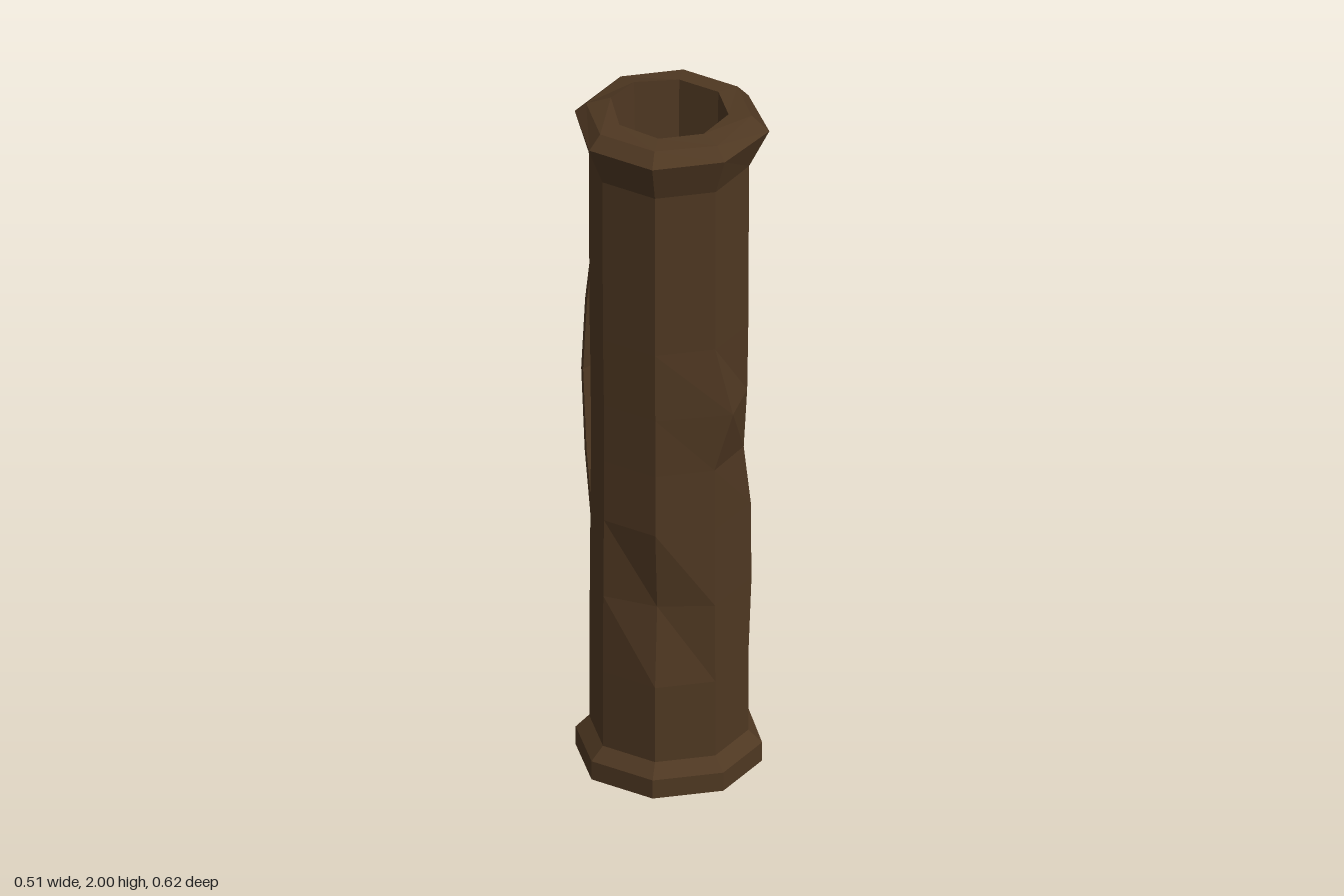
import * as THREE from 'three';

const SIDES = 8;
const CENTRE_Z = 0.056;
const leather = new THREE.MeshStandardMaterial({ color: 0x4f3822, flatShading: true, roughness: 0.9 });
const strapLeather = leather.clone();
strapLeather.side = THREE.DoubleSide;

// Eight-sided turned part; corner 0 faces front, corner 2 faces +x.
// Each dent moves one corner of one profile row: [corner, row, dx, dy, dz]
function turned(name, profile, dents = []) {
  const geo = new THREE.LatheGeometry(profile.map(([r, y]) => new THREE.Vector2(r, y)), SIDES);
  const pos = geo.attributes.position;
  for (const [corner, row, dx, dy, dz] of dents) {
    for (let c = corner; c <= SIDES; c += SIDES) {
      const i = c * profile.length + row;
      pos.setXYZ(i, pos.getX(i) + dx, pos.getY(i) + dy, pos.getZ(i) + dz);
    }
  }
  const flat = geo.toNonIndexed();
  flat.computeVertexNormals();
  const mesh = new THREE.Mesh(flat, leather);
  mesh.name = name;
  mesh.position.set(0.003, 0, CENTRE_Z);
  return mesh;
}

// Ribbon with a raised centre ridge, swept through [y, z] points
function ribbon(path, xs, ridge, thickness) {
  const section = [
    [xs[0], 0], [xs[1], -ridge], [xs[2], 0],
    [xs[2], thickness], [xs[1], thickness - ridge], [xs[0], thickness],
  ];
  const n = section.length;
  const verts = [];
  const index = [];
  path.forEach(([y, z], r) => {
    for (const [x, dz] of section) verts.push(x, y, z + dz);
    if (r === 0) return;
    for (let k = 0; k < n; k++) {
      const a = (r - 1) * n + k, b = (r - 1) * n + (k + 1) % n;
      index.push(a, a + n, b, b, a + n, b + n);
    }
  });
  const geo = new THREE.BufferGeometry();
  geo.setAttribute('position', new THREE.Float32BufferAttribute(verts, 3));
  geo.setIndex(index);
  const flat = geo.toNonIndexed();
  flat.computeVertexNormals();
  return flat;
}

export function createModel() {
  const group = new THREE.Group();
  group.name = 'quiver';

  // Bottom cap with its bevelled band
  group.add(turned('baseBand',
    [[0, 0.01], [0.21, 0.01], [0.25, 0.025], [0.25, 0.08], [0.213, 0.115]],
    [[1, 1, 0, -0.008, 0], [6, 1, 0, 0.008, 0], [2, 3, 0.005, 0, 0], [4, 3, 0, 0.01, 0]]));

  // Long tube with worn, uneven corners
  group.add(turned('body',
    [[0.213, 0.115], [0.213, 0.34], [0.212, 0.57], [0.21, 0.8], [0.209, 0.98],
      [0.21, 1.15], [0.213, 1.35], [0.215, 1.83]],
    [
      [0, 5, 0.04, 0, 0.028],
      [7, 2, 0.022, 0, -0.022],
      [4, 4, 0, 0, 0.012],
      [2, 3, -0.008, 0, 0],
      [1, 2, 0.015, 0, -0.005],
      [1, 3, 0.015, 0, -0.005],
      [1, 4, -0.01, 0, 0],
    ]));

  // Flared mouth, rolling over to the opening
  group.add(turned('mouthCollar',
    [[0.215, 1.83], [0.257, 1.94], [0.222, 1.978], [0.16, 1.982]],
    [
      [5, 3, 0.005, 0.018, 0], [4, 3, 0, 0.008, 0], [6, 3, 0, 0.005, 0],
      [1, 2, 0, 0.006, 0], [0, 2, 0, -0.004, 0],
      [1, 1, 0.015, -0.005, 0], [5, 1, 0.005, 0.01, 0], [3, 1, 0.005, 0.008, 0],
    ]));

  // Hollow inside and its sunken floor
  group.add(turned('lining',
    [[0.16, 1.982], [0.147, 1.45], [0, 1.4]],
    [[5, 0, 0.005, 0.018, 0], [4, 0, 0, 0.008, 0], [6, 0, 0, 0.005, 0]]));

  // Carrying strap bowed out behind the tube
  const path = [[1.91, -0.165], [1.87, -0.18], [1.68, -0.21], [1.45, -0.25], [1.26, -0.282], [1.04, -0.3],
    [0.8, -0.284], [0.56, -0.25], [0.3, -0.203], [0.1, -0.158]];
  const strap = new THREE.Mesh(ribbon(path, [-0.03, 0.008, 0.045], 0.008, 0.009), strapLeather);
  strap.name = 'strap';
  group.add(strap);

  return group;
}
